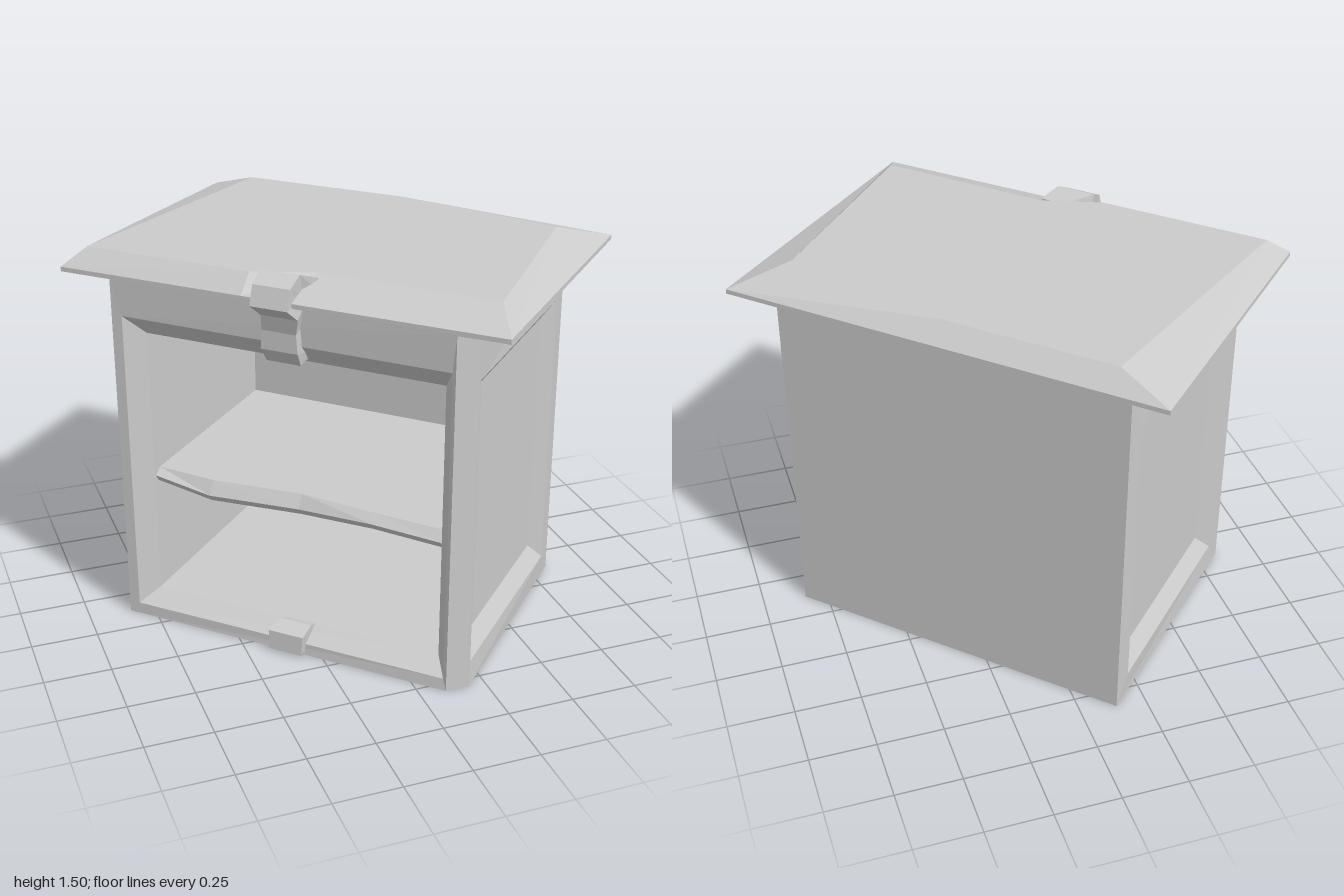
import * as THREE from 'three';

const material = new THREE.MeshStandardMaterial({ color: 0xcccccc, flatShading: true });

// Skin a series of equal-length point rings; close the last one (and the first if asked).
function loft(name, rings, capStart = false) {
  const pos = [];
  const tri = (a, b, c) => pos.push(...a, ...b, ...c);
  const cap = (ring, flip) => {
    const mid = [0, 1, 2].map(k => ring.reduce((s, p) => s + p[k], 0) / ring.length);
    ring.forEach((p, i) => {
      const q = ring[(i + 1) % ring.length];
      flip ? tri(q, p, mid) : tri(p, q, mid);
    });
  };
  for (let r = 0; r + 1 < rings.length; r++) {
    const a = rings[r], b = rings[r + 1];
    a.forEach((p, i) => {
      const j = (i + 1) % a.length;
      tri(p, a[j], b[j]);
      tri(p, b[j], b[i]);
    });
  }
  cap(rings[rings.length - 1], false);
  if (capStart) cap(rings[0], true);
  const geo = new THREE.BufferGeometry();
  geo.setAttribute('position', new THREE.Float32BufferAttribute(pos, 3));
  geo.computeVertexNormals();
  const mesh = new THREE.Mesh(geo, material);
  mesh.name = name;
  return mesh;
}

// Body footprint corners (FM is where the slanted corner post starts) and height
const H = 1.37;
const FL = [-0.685, 0.501], FM = [0.63, 0.505], FR = [0.695, 0.446];
const BR = [0.684, -0.495], BL = [-0.675, -0.494];
const at = ([x, z], y) => [x, y, z];
const wall = (a, b) => [at(a, 0), at(b, 0), at(b, H), at(a, H)];
const frontRect = (x0, x1, y0, y1, z) => [[x0, y0, z], [x1, y0, z], [x1, y1, z], [x0, y1, z]];

// End wall with a bevelled sunken panel; za and zb are its left and right edges seen from outside
function endWall(name, outline, x, za, zb) {
  const dir = Math.sign(zb - za);
  const rect = (inset, depth) => {
    const a = za + dir * inset, b = zb - dir * inset;
    const y0 = 0.095 + inset * 1.25, y1 = 1.195 - inset * 1.25;
    const px = x - Math.sign(x) * depth;
    return [[px, y0, a], [px, y0, b], [px, y1, b], [px, y1, a]];
  };
  return loft(name, [outline, rect(0, 0), rect(0.052, 0.045)]);
}

// Strap of rectangular section: rows of [outer z, outer y, inner z, inner y, centre x, half width]
function strap(name, rows) {
  return loft(name, rows.map(([zo, yo, zi, yi, x, w]) =>
    [[x - w, yi, zi], [x + w, yi, zi], [x + w, yo, zo], [x - w, yo, zo]]), true);
}

export function createModel() {
  const cabinet = new THREE.Group();
  cabinet.name = 'cabinet';

  // Open front: frame, bevel, then the inside walls and the back of the compartment
  cabinet.add(loft('frontOpening', [
    wall(FL, FM),
    frontRect(-0.644, 0.616, 0.045, 1.235, 0.5),
    frontRect(-0.587, 0.57, 0.095, 1.155, 0.43),
    frontRect(-0.587, 0.57, 0.095, 1.155, -0.4),
  ]));
  cabinet.add(loft('cornerPost', [wall(FM, FR)]));
  cabinet.add(endWall('leftEnd', wall(FR, BR), 0.69, 0.425, -0.405));
  cabinet.add(endWall('rightEnd', wall(BL, FL), -0.68, -0.41, 0.42));
  cabinet.add(loft('backWall', [wall(BR, BL)]));
  cabinet.add(loft('base', [[BL, BR, FR, FM, FL].map(p => at(p, 0))]));

  // Roof slab with uneven hand-cut bevels
  const level = (pts, y) => pts.map(p => at(p, y));
  const X = 0.836, Z = 0.575;
  const eave = [[-X, Z], [-0.12, Z], [0.1, Z], [X, Z], [X, -Z], [0.01, -Z], [-X, -Z]];
  const foot = [FL, [-0.12, 0.5], FM, FR, BR, [0.01, -0.494], BL];
  const top = [[-0.765, 0.505], [-0.12, 0.51], [0.1, 0.42], [0.756, 0.429],
    [0.676, -0.389], [0.01, -0.506], [-0.635, -0.505]];
  cabinet.add(loft('roof', [level(foot, H), level(eave, 1.4), level(eave, 1.417), level(top, 1.482)]));

  // Worn shelf with a wavy front edge: [x, front z, underside y]
  const shelf = [[-0.587, 0.42, 0.548], [-0.35, 0.435, 0.52], [0, 0.4, 0.522],
    [0.3, 0.425, 0.54], [0.57, 0.44, 0.535]];
  cabinet.add(loft('shelf', shelf.map(([x, z, y]) => [
    [x, y, z - 0.015], [x, y, -0.4], [x, 0.597, -0.4], [x, 0.597, z - 0.03], [x, y + 0.025, z],
  ])));

  // Strap folded over the eave and hanging in front of the opening
  cabinet.add(strap('eaveStrap', [
    [0.45, 1.474, 0.45, 1.43, 0.06, 0.05],
    [0.52, 1.502, 0.5, 1.43, 0, 0.075],
    [0.585, 1.47, 0.55, 1.43, 0, 0.07],
    [0.61, 1.4, 0.555, 1.41, 0, 0.07],
    [0.55, 1.35, 0.5, 1.39, 0.01, 0.07],
    [0.535, 1.29, 0.45, 1.32, 0, 0.065],
    [0.535, 1.22, 0.44, 1.2, 0, 0.07],
    [0.5, 1.165, 0.44, 1.17, 0, 0.065],
  ]));

  // Stub of the strap on the sill
  cabinet.add(strap('sillStrap', [
    [0.41, 0.09, 0.41, 0.04, 0.02, 0.055],
    [0.46, 0.105, 0.43, 0.03, 0.01, 0.065],
    [0.525, 0.085, 0.46, 0.02, 0, 0.07],
    [0.53, 0.01, 0.46, 0.01, 0, 0.065],
    [0.51, 0, 0.47, 0, 0, 0.06],
  ]));

  // The cabinet stands turned on its plan
  cabinet.rotation.y = -THREE.MathUtils.degToRad(44.4);
  cabinet.position.z = -0.005;
  const model = new THREE.Group();
  model.name = 'openCabinet';
  model.add(cabinet);
  return model;
}
